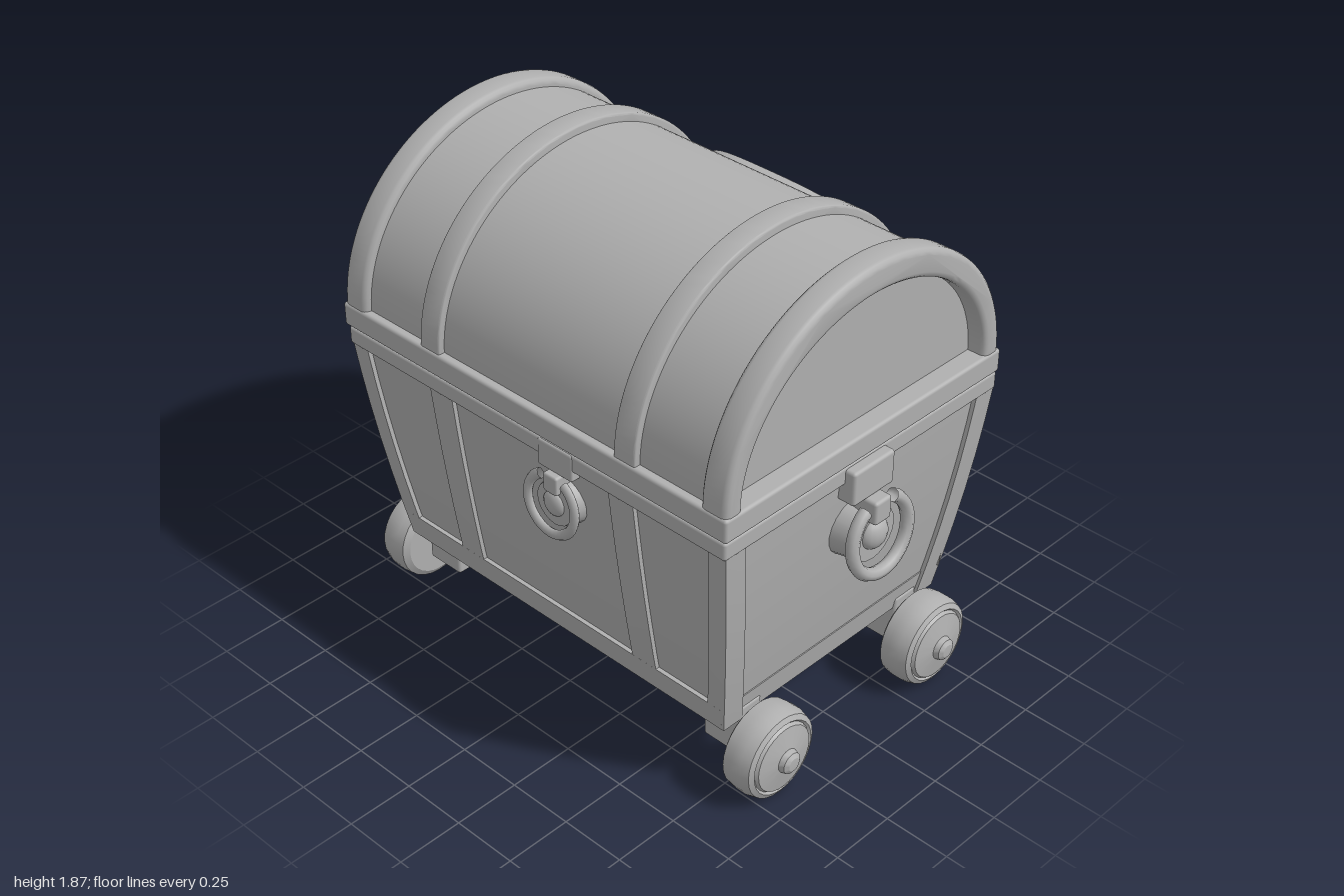
import * as THREE from 'three';
import { toCreasedNormals } from 'three/addons/utils/BufferGeometryUtils.js';
import { RoundedBoxGeometry } from 'three/addons/geometries/RoundedBoxGeometry.js';

const grey = new THREE.MeshStandardMaterial({ color: 0xb0b0b0, side: THREE.DoubleSide });
grey.name = 'warm grey';

// half sizes of the tapered box at height y
const hx = (y) => { const t = (y - 0.28) / 0.9; return 0.538 + 0.16 * t - 0.035 * t * t; };
const hz = (y) => { const t = (y - 0.28) / 0.9; return 0.775 + 0.16 * t - 0.05 * t * t; };

// lid arc, and the face-side surface of the whole chest at height y
const LID_X = -0.008, LID_Y = 1.27, LID_A = 0.636, LID_B = 0.575;
const surf = (y) => y > LID_Y
  ? LID_X + LID_A * Math.sqrt(Math.max(0, 1 - ((y - LID_Y) / LID_B) ** 2))
  : Math.min(hx(y), THREE.MathUtils.mapLinear(y, 1.1, LID_Y, 0.65, LID_X + LID_A));

function add(parent, name, geo, x = 0, y = 0, z = 0) {
  const m = new THREE.Mesh(geo, grey);
  m.name = name;
  m.position.set(x, y, z);
  parent.add(m);
  return m;
}

// surface from a rule f(u, v) -> [x, y, z]
function grid(nu, nv, f, crease = 0.6) {
  const pos = [], idx = [];
  for (let i = 0; i <= nu; i++) for (let j = 0; j <= nv; j++) pos.push(...f(i / nu, j / nv));
  for (let i = 0; i < nu; i++) for (let j = 0; j < nv; j++) {
    const a = i * (nv + 1) + j, b = a + nv + 1;
    idx.push(a, a + 1, b, b, a + 1, b + 1);
  }
  const g = new THREE.BufferGeometry();
  g.setAttribute('position', new THREE.Float32BufferAttribute(pos, 3));
  g.setIndex(idx);
  return toCreasedNormals(g, crease);
}

// upright slab with a rectangular section f(y) -> [x0, x1, z0, z1]
function slab(y0, y1, f) {
  const n = 6;
  return grid(n + 2, 4, (u, v) => {
    const i = Math.round(u * (n + 2)), k = Math.round(v * 4) % 4;
    const y = y0 + (y1 - y0) * Math.min(n, Math.max(0, i - 1)) / n;
    const [a, b, c, d] = f(y);
    if (i === 0 || i === n + 2) return [(a + b) / 2, y, (c + d) / 2];
    return [k === 0 || k === 3 ? a : b, y, k < 2 ? c : d];
  }, 0.5);
}

// curved band over the lid
function arch(a, b, ai, bi, z0, z1, bevel) {
  const s = new THREE.Shape();
  s.absellipse(LID_X, LID_Y, a - bevel, b - bevel, 0, Math.PI, false);
  s.lineTo(LID_X - ai - bevel, LID_Y);
  s.absellipse(LID_X, LID_Y, ai + bevel, bi + bevel, Math.PI, 0, true);
  const g = new THREE.ExtrudeGeometry(s, {
    depth: z1 - z0 - 2 * bevel, curveSegments: 32, bevelEnabled: true,
    bevelSize: bevel, bevelThickness: bevel, bevelSegments: 3,
  });
  g.translate(0, 0, z0 + bevel);
  return toCreasedNormals(g, 0.6);
}

// face outline as [z, y]: squarish above, round below; w is the half width
function outline(t, w) {
  const c = Math.cos(t), s = Math.sin(t), e = s > 0 ? 2 / 2.6 : 1;
  return [w * Math.sign(c) * Math.abs(c) ** e, 1.18 + (s > 0 ? w + 0.02 : w - 0.06) * Math.sign(s) * Math.abs(s) ** e];
}

function box(w, h, d, r = 0.012) { return new RoundedBoxGeometry(w, h, d, 2, r); }

function makeLatch() {
  const g = new THREE.Group();
  g.name = 'latch';
  add(g, 'latchPlate', box(0.2, 0.13, 0.08), 0, 0.205, 0.025);
  const boss = add(g, 'latchBoss', new THREE.CylinderGeometry(0.1, 0.12, 0.11, 20), 0, -0.01, 0.02);
  boss.rotation.x = Math.PI / 2;
  add(g, 'latchHinge', box(0.08, 0.09, 0.12), 0, 0.1, 0.05);
  const knob = add(g, 'latchKnob', new THREE.SphereGeometry(0.06, 16, 12), 0, -0.005, 0.07);
  knob.scale.z = 0.7;
  const gap = 0.5, ring = add(g, 'latchRing',
    new THREE.TorusGeometry(0.137, 0.024, 8, 28, Math.PI * 2 - 2 * gap), 0, 0, 0.1);
  ring.rotation.set(-0.1, 0, Math.PI / 2 + gap);
  return g;
}

function makeWheel() {
  const p = [[0, 0.79], [0.14, 0.79], [0.163, 0.805], [0.168, 0.84], [0.168, 0.88], [0.158, 0.915], [0.14, 0.925],
    [0.132, 0.918], [0.125, 0.93], [0.045, 0.945], [0.04, 0.965], [0.025, 0.975], [0, 0.977]];
  const g = new THREE.LatheGeometry(p.map(([r, z]) => new THREE.Vector2(r, z)), 28);
  g.rotateX(Math.PI / 2);
  return toCreasedNormals(g, 0.5);
}

export function createModel() {
  const model = new THREE.Group();
  model.name = 'wheeledChest';

  // tapered box: recessed core, base and corner posts
  add(model, 'boxCore', slab(0.3, 1.15, (y) => [-hx(y) + 0.016, hx(y) - 0.085, -hz(y) + 0.016, hz(y) - 0.016]));
  add(model, 'boxBase', slab(0.28, 0.38, (y) => [-hx(y), hx(y), -hz(y) + 0.012, hz(y) - 0.012]));
  for (const sx of [-1, 1]) for (const sz of [-1, 1]) {
    add(model, 'cornerPost', slab(0.28, 1.13, (y) =>
      [sx * hx(y), sx * (hx(y) - 0.09), sz * hz(y), sz * (hz(y) - 0.075)]));
    // belts down the long sides, ending at the mouth on the face side
    add(model, 'sideBelt', slab(0.3, sx > 0 ? 1.0 : 1.13, (y) =>
      [sx * hx(y), sx * (hx(y) - 0.07), sz * 0.37, sz * 0.48]));
  }

  // face-side panel around the mouth opening
  add(model, 'facePanel', grid(32, 8, (u, v) => {
    const t = Math.PI * (1 + u), [z, y] = outline(t, 0.44);
    const c = Math.cos(t), s = Math.sin(t);
    const k = 1 / Math.max(Math.abs(c) / 0.8, Math.abs(s) / 0.86, 1e-6);
    const yy = y + (1.18 + s * k - y) * v;
    return [surf(yy) - 0.016, yy, z + (c * k - z) * v];
  }));

  // rims where lid and box meet
  add(model, 'boxRim', box(1.33, 0.07, 1.77), -0.002, 1.145, 0);
  add(model, 'lidRim', box(1.25, 0.09, 1.79), -0.05, 1.23, 0);
  for (const s of [-1, 1]) add(model, 'lidRimSide', box(0.12, 0.09, 0.435), 0.6, 1.23, s * 0.6775);

  // domed lid
  const dome = new THREE.Shape();
  dome.absellipse(LID_X, LID_Y, LID_A, LID_B, 0, Math.PI, false);
  const domeGeo = new THREE.ExtrudeGeometry(dome, { depth: 1.64, curveSegments: 36, bevelEnabled: false });
  domeGeo.translate(0, 0, -0.82);
  add(model, 'lidDome', toCreasedNormals(domeGeo, 0.6));
  for (const s of [-1, 1]) {
    add(model, 'lidEndArch', arch(0.662, 0.609, 0.585, 0.503, s > 0 ? 0.78 : -0.89, s > 0 ? 0.89 : -0.78, 0.022));
    add(model, 'lidBelt', arch(0.66, 0.607, 0.6, 0.53, s * 0.455 - 0.047, s * 0.455 + 0.047, 0.008));
  }

  // face: raised frame, flatter around the mouth
  const face = new THREE.Group();
  face.name = 'face';
  model.add(face);
  const section = [[0.42, -0.06], [0.422, 0.034], [0.45, 0.046], [0.478, 0.036], [0.482, -0.07]];
  add(face, 'faceFrame', grid(72, 4, (u, v) => {
    const [w, off] = section[Math.round(v * 4)], [z, y] = outline(u * Math.PI * 2, w);
    const k = off < 0 ? 1 : 0.25 + 0.75 * THREE.MathUtils.smoothstep(y, 0.95, 1.3);
    return [surf(y) + off * k, y, z];
  }));
  // upper face plate
  add(face, 'facePlate', grid(40, 10, (u, v) => {
    const [z, y] = outline(u * Math.PI, 0.43);
    const yy = 1.18 + (y - 1.18) * v;
    return [surf(yy) + 0.008, yy, z * v];
  }, 1));
  // hollow mouth and the upper lip hanging into it
  add(face, 'mouth', grid(32, 10, (u, v) => {
    const [z, y] = outline(Math.PI * (1 + u), 0.43);
    const yy = 1.18 + (y - 1.18) * v;
    return [surf(yy) - 0.012 - 0.065 * Math.sqrt(1 - v * v), yy, z * v];
  }, 1));
  add(face, 'upperLip', grid(16, 4, (u, v) => {
    const z = (u - 0.5) * 0.68, low = 0.965 + 0.13 * (z / 0.34) ** 2;
    const y = 1.13 + (low - 1.13) * v;
    return [surf(y) - 0.015 - 0.03 * v * v, y, z];
  }, 1));
  // eyes, brows and nose
  for (const s of [-1, 1]) {
    const eye = add(face, 'eye', new THREE.SphereGeometry(0.083, 24, 16), 0.603, 1.42, s * 0.223);
    eye.scale.x = 0.55;
    const pts = [[0.315, 1.525], [0.27, 1.55], [0.21, 1.553], [0.165, 1.535]]
      .map(([z, y]) => new THREE.Vector3(surf(y) + 0.012, y, s * z));
    add(face, 'brow', new THREE.TubeGeometry(new THREE.CatmullRomCurve3(pts), 12, 0.016, 8));
  }
  add(face, 'nose', new THREE.SphereGeometry(0.038, 16, 12), 0.666, 1.33, 0);

  // ring latches on both ends and a flatter one on the plain long side
  const latches = [[-0.01, 0.9, 0.86, 0, 1, 1], [-0.01, 0.9, -0.86, Math.PI, 1, 1], [-0.635, 0.96, 0.14, -Math.PI / 2, 0.8, 0.55]];
  for (const [x, y, z, turn, size, depth] of latches) {
    const latch = makeLatch();
    latch.position.set(x, y, z);
    latch.rotation.y = turn;
    latch.scale.set(size, size, depth);
    model.add(latch);
  }

  // wheels on short brackets
  const wheelGeo = makeWheel();
  for (const sx of [-1, 1]) for (const turn of [0, Math.PI]) {
    const s = turn ? -1 : 1, x = sx * 0.402 - 0.008;
    add(model, 'wheel', wheelGeo, x, 0.175, 0).rotation.y = turn;
    add(model, 'wheelBracket', box(0.11, 0.2, 0.16), x, 0.225, s * 0.695);
    add(model, 'axle', box(0.07, 0.08, 0.12), x, 0.175, s * 0.77);
  }
  return model;
}
